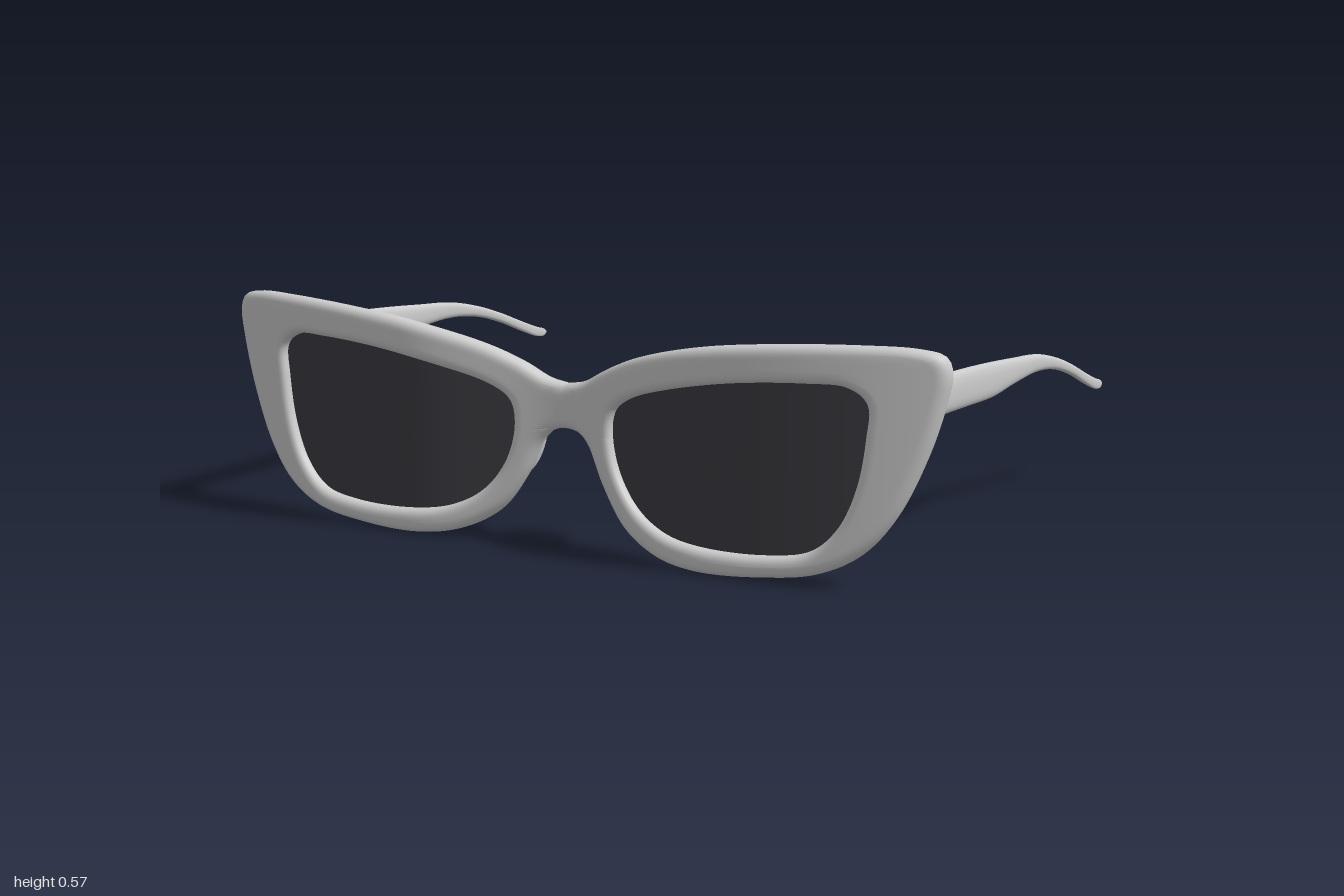
import * as THREE from 'three';
import { mergeVertices } from 'three/addons/utils/BufferGeometryUtils.js';

const HALF_THICK = 0.027, BEVEL = 0.027;
const grey = new THREE.MeshStandardMaterial({ color: 0xcccccc });
const dark = new THREE.MeshStandardMaterial({ color: 0x3c3b41, side: THREE.DoubleSide });

const spline = (pts, n, closed = false) =>
  new THREE.CatmullRomCurve3(pts.map(([x, y]) => new THREE.Vector3(x, y, 0)), closed).getSpacedPoints(n);

// Left half of the frame outline, from the top of the bridge round to its underside
const outer = spline([[0, 0.405], [0.05, 0.415], [0.12, 0.452], [0.22, 0.493], [0.4, 0.538], [0.6, 0.561],
  [0.8, 0.57], [0.93, 0.567], [0.985, 0.552], [1, 0.515], [0.988, 0.44], [0.95, 0.315], [0.885, 0.175],
  [0.81, 0.085], [0.71, 0.033], [0.57, 0.011], [0.4, 0.004], [0.28, 0.022], [0.18, 0.075], [0.11, 0.17],
  [0.065, 0.262], [0.035, 0.289], [0, 0.294]], 150);
// Lens opening
const hole = spline([[0.137, 0.3], [0.148, 0.355], [0.195, 0.39], [0.33, 0.432], [0.5, 0.463], [0.68, 0.476],
  [0.775, 0.472], [0.82, 0.438], [0.818, 0.36], [0.797, 0.24], [0.755, 0.145], [0.69, 0.085], [0.59, 0.065],
  [0.42, 0.063], [0.3, 0.082], [0.215, 0.13], [0.158, 0.21]], 160, true);
const centre = new THREE.Vector3(0.48, 0.27, 0);

// Front-to-back bend of the frame
function bend(x) {
  x = Math.abs(x);
  if (x > 0.46) return 0.68 - 0.09 * ((x - 0.46) / 0.54) ** 2;
  return 0.602 + 0.078 * THREE.MathUtils.smoothstep(x, 0, 0.43);
}

function distanceTo(line, p) {
  const q = new THREE.Vector3(), seg = new THREE.Line3();
  let best = Infinity;
  for (let i = 0; i + 1 < line.length; i++) {
    seg.set(line[i], line[i + 1]).closestPointToPoint(p, true, q);
    best = Math.min(best, q.distanceTo(p));
  }
  return best;
}

// Where the ray from the lens centre towards p crosses the opening
function onHole(p) {
  const dx = p.x - centre.x, dy = p.y - centre.y;
  for (let i = 0; i + 1 < hole.length; i++) {
    const a = hole[i], b = hole[i + 1];
    const sa = dx * (a.y - centre.y) - dy * (a.x - centre.x);
    const sb = dx * (b.y - centre.y) - dy * (b.x - centre.x);
    if (sa * sb > 0 || sa === sb) continue;
    const hit = a.clone().lerp(b, sa / (sa - sb));
    if ((hit.x - centre.x) * dx + (hit.y - centre.y) * dy > 0) return hit;
  }
  return hole[0].clone();
}

function buildGeometry(positions, index) {
  const g = new THREE.BufferGeometry();
  g.setAttribute('position', new THREE.Float32BufferAttribute(positions, 3));
  g.setIndex(index);
  const merged = mergeVertices(g, 1e-5);
  merged.computeVertexNormals();
  return merged;
}

// Frame: strips from opening to outline, thickness rounded off by distance to the edge
function frameGeometry() {
  const ring = outer.slice();
  for (const k of [0.01, 0.04, 0.1, 0.2, 0.35, 0.5, 0.65, 0.8, 0.9, 0.96, 0.99])
    ring.push(new THREE.Vector3(0, 0.294 + 0.111 * k, 0));
  const steps = [0, 1, 2, 3, 4, 5, 6].map(k => 1 - Math.cos(k * Math.PI / 12));
  const pos = [], idx = [], cols = 18;
  ring.forEach(p => {
    const a = onHole(p), w = a.distanceTo(p), r = Math.min(BEVEL * 1.15, w * 0.44) / w;
    const ts = [...steps.map(s => s * r), ...[1, 2, 3, 4].map(k => r + (1 - 2 * r) * k / 5),
      ...steps.map(s => 1 - s * r).reverse()];
    for (const t of ts) {
      const v = a.clone().lerp(p, t);
      const d = Math.min(distanceTo(outer, v), distanceTo(hole, v));
      const u = 1 - Math.min(d / BEVEL, 1);
      const h = d < 1e-7 ? 0 : HALF_THICK * Math.pow(1 - Math.pow(u, 2.4), 1 / 2.4);
      for (const side of [1, -1]) for (const s of [1, -1]) pos.push(side * v.x, v.y, bend(v.x) + s * h);
    }
  });
  const quad = (a, b, c, d, flip) => flip ? idx.push(a, c, b, a, d, c) : idx.push(a, b, c, a, c, d);
  for (let i = 0; i < ring.length; i++) for (let j = 0; j + 1 < cols; j++) for (let k = 0; k < 4; k++) {
    const at = (m, n) => ((m % ring.length) * cols + n) * 4 + k;
    quad(at(i, j), at(i + 1, j), at(i + 1, j + 1), at(i, j + 1), k === 1 || k === 2);
  }
  return buildGeometry(pos, idx);
}

// Lens: thin sheet that follows the bend, tucked just inside the rim
function lensGeometry() {
  const pos = [], idx = [], n = hole.length - 1, rings = 10;
  for (let j = 0; j <= rings; j++) for (let i = 0; i < n; i++) {
    const v = centre.clone().lerp(hole[i], 1.02 * j / rings);
    pos.push(v.x, v.y, bend(v.x));
  }
  for (let j = 0; j < rings; j++) for (let i = 0; i < n; i++) {
    const a = j * n + i, b = j * n + (i + 1) % n;
    idx.push(a, b + n, b, a, a + n, b + n);
  }
  return buildGeometry(pos, idx);
}

// Temple: rounded sections lofted backwards; stations are z, top, bottom, centre x, half width
function templeGeometry() {
  const st = [[0.572, 0.48, 0.383, 0.902, 0.024], [0.5, 0.478, 0.381, 0.9, 0.021], [0.4, 0.474, 0.379, 0.898, 0.018],
    [0.25, 0.467, 0.374, 0.898, 0.0165], [0.1, 0.457, 0.37, 0.898, 0.016], [-0.05, 0.444, 0.38, 0.897, 0.015],
    [-0.2, 0.43, 0.385, 0.897, 0.0135], [-0.33, 0.403, 0.37, 0.896, 0.012], [-0.45, 0.367, 0.338, 0.896, 0.0105],
    [-0.58, 0.32, 0.29, 0.895, 0.008], [-0.66, 0.293, 0.264, 0.895, 0.005], [-0.7, 0.282, 0.261, 0.895, 0.003],
    [-0.713, 0.273, 0.269, 0.895, 0.001]];
  const heights = new THREE.CatmullRomCurve3(st.map(s => new THREE.Vector3(s[0], s[1], s[2])));
  const widths = new THREE.CatmullRomCurve3(st.map(s => new THREE.Vector3(s[0], s[3], s[4])));
  const pos = [], idx = [], rows = 60, n = 24;
  const soft = v => Math.sign(v) * Math.pow(Math.abs(v), 0.8);
  for (let i = 0; i <= rows; i++) {
    const h = heights.getPoint(i / rows), w = widths.getPoint(i / rows);
    for (let j = 0; j < n; j++) {
      const a = j / n * Math.PI * 2;
      pos.push(w.y + w.z * soft(Math.cos(a)), (h.y + h.z) / 2 + (h.y - h.z) / 2 * soft(Math.sin(a)), h.x);
    }
  }
  for (let i = 0; i < rows; i++) for (let j = 0; j < n; j++) {
    const a = i * n + j, b = i * n + (j + 1) % n;
    idx.push(a, b + n, b, a, a + n, b + n);
  }
  // End caps
  for (const [row, z] of [[0, 0.577], [rows, -0.714]]) {
    const c = pos.length / 3;
    pos.push(row ? 0.895 : 0.902, row ? 0.271 : 0.4315, z);
    for (let j = 0; j < n; j++) {
      const a = row * n + j, b = row * n + (j + 1) % n;
      row ? idx.push(c, b, a) : idx.push(c, a, b);
    }
  }
  return buildGeometry(pos, idx);
}

// Nose pad: half-buried ellipsoid pinched to a fin at the back
function padGeometry() {
  const g = new THREE.SphereGeometry(1, 32, 24), p = g.attributes.position;
  for (let i = 0; i < p.count; i++) {
    const x = p.getX(i), y = p.getY(i), z = p.getZ(i);
    const pinch = 1 - 0.55 * Math.max(0, -z);
    p.setXYZ(i, 0.113 - 0.012 * y + 0.029 * x * pinch, 0.275 + 0.107 * y, 0.603 + (z < 0 ? 0.088 : 0.015) * z);
  }
  g.computeVertexNormals();
  return g;
}

// Hinge: small hooked knuckle from temple to frame
function hingeGeometry() {
  const path = new THREE.CatmullRomCurve3([[0.9, 0.55], [0.875, 0.542], [0.857, 0.556], [0.85, 0.58], [0.85, 0.615]]
    .map(([x, z]) => new THREE.Vector3(x, 0, z)));
  return new THREE.TubeGeometry(path, 20, 0.008, 12).scale(1, 2, 1).translate(0, 0.432, 0);
}

// Mirrored copy with its faces turned the right way round
function mirror(geometry) {
  const g = geometry.clone().scale(-1, 1, 1), ix = g.index.array;
  for (let i = 0; i < ix.length; i += 3) [ix[i + 1], ix[i + 2]] = [ix[i + 2], ix[i + 1]];
  g.computeVertexNormals();
  return g;
}

export function createModel() {
  const group = new THREE.Group();
  const add = (name, geometry, material) => {
    const mesh = new THREE.Mesh(geometry, material);
    mesh.name = name;
    group.add(mesh);
  };
  add('frame', frameGeometry(), grey);
  const pairs = [['Lens', lensGeometry(), dark], ['Temple', templeGeometry(), grey],
    ['NosePad', padGeometry(), grey], ['Hinge', hingeGeometry(), grey]];
  for (const [name, geometry, material] of pairs) {
    add('left' + name, geometry, material);
    add('right' + name, mirror(geometry), material);
  }
  return group;
}
